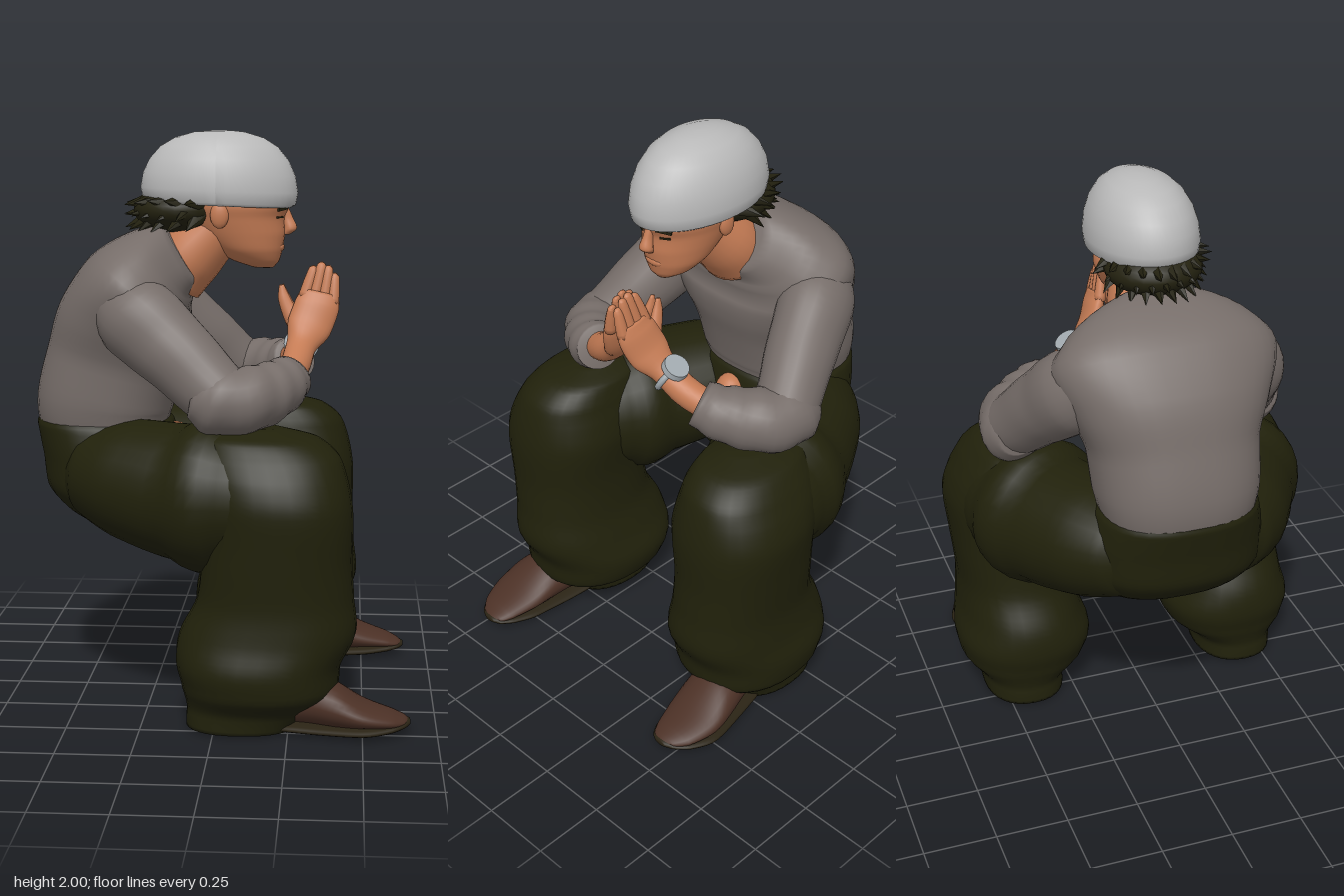
import * as THREE from 'three';

const mat = (name, color) => {
  const m = new THREE.MeshStandardMaterial({ color });
  m.name = name;
  return m;
};

export function createModel() {
  const model = new THREE.Group();
  const wool = mat('greyBrownSweater', 0x766d69);
  const cap = mat('lightGreyHat', 0xb9b9b9);
  const skin = mat('skin', 0xc47b54);
  const cloth = mat('darkOliveTrousers', 0x21210b);
  const hairDark = mat('darkHair', 0x242210);
  const leather = mat('brownLeather', 0x4c3126);
  const rubber = mat('darkSole', 0x2a2314);
  const steel = mat('watchSteel', 0xa3abb0);

  const add = (name, geo, material, parent = model) => {
    const mesh = new THREE.Mesh(geo, material);
    mesh.name = name;
    parent.add(mesh);
    return mesh;
  };
  const bend = (v, e) => Math.sign(v) * Math.abs(v) ** e;

  // Smooth body through rounded sections [x, y, z, sideRadius, otherRadius].
  // Sections stand across the path, or across dir when it is given; e < 1 makes them squarer.
  function loft(name, material, rows, { dir, steps = 5, n = 24, fold = 0, waves = 3, e = 1 } = {}) {
    const path = new THREE.CatmullRomCurve3(rows.map(r => new THREE.Vector3(r[0], r[1], r[2])));
    const size = new THREE.CatmullRomCurve3(rows.map(r => new THREE.Vector3(r[3], r[4], 0)));
    const count = (rows.length - 1) * steps, pos = [], idx = [];
    for (let i = 0; i <= count; i++) {
      const u = i / count, c = path.getPoint(u), r = size.getPoint(u);
      const t = dir ? new THREE.Vector3(...dir) : path.getTangent(u);
      const side = new THREE.Vector3(0, 0, 1).addScaledVector(t, -t.z).normalize();
      const up = t.clone().cross(side);
      for (let j = 0; j < n; j++) {
        const a = j / n * Math.PI * 2;
        const k = 1 + fold * Math.sin(waves * 6.28 * u + 2 * Math.sin(a));
        const p = c.clone().addScaledVector(side, bend(Math.cos(a), e) * r.x * k)
          .addScaledVector(up, bend(Math.sin(a), e) * r.y * k);
        pos.push(p.x, p.y, p.z);
        if (i < count) {
          const A = i * n + j, B = i * n + (j + 1) % n;
          idx.push(A, B, A + n, B, B + n, A + n);
        }
      }
    }
    // end caps
    const first = rows[0], last = rows[rows.length - 1], s = pos.length / 3;
    pos.push(first[0], first[1], first[2], last[0], last[1], last[2]);
    for (let j = 0; j < n; j++) {
      const k = (j + 1) % n, end = count * n;
      idx.push(s, k, j, s + 1, end + j, end + k);
    }
    const geo = new THREE.BufferGeometry();
    geo.setAttribute('position', new THREE.Float32BufferAttribute(pos, 3));
    geo.setIndex(idx);
    geo.computeVertexNormals();
    return add(name, geo, material);
  }

  // Torso, leaning forward
  loft('sweaterBody', wool, [
    [-.425, .965, 0, .26, .225], [-.42, 1.06, 0, .28, .24], [-.385, 1.2, 0, .29, .24],
    [-.345, 1.33, 0, .345, .24], [-.29, 1.45, 0, .39, .21], [-.215, 1.53, 0, .31, .16], [-.14, 1.575, 0, .15, .118],
  ], { n: 40, e: .84 });
  loft('neck', skin, [[-.18, 1.48, 0, .13, .11], [-.125, 1.56, 0, .135, .118], [-.03, 1.66, .01, .105, .1], [.03, 1.73, .01, .09, .09]]);

  // Seat of the trousers
  loft('trouserSeat', cloth, [
    [-.43, 1.005, 0, .26, .225], [-.42, .98, 0, .28, .24], [-.4, .88, 0, .3, .24], [-.39, .77, 0, .3, .235],
    [-.36, .68, 0, .26, .19], [-.3, .61, 0, .22, .13], [-.29, .585, 0, .15, .09],
  ], { dir: [0, -1, 0], n: 32, e: .85 });
  const buckle = add('beltBuckle', new THREE.SphereGeometry(.055, 20, 14), skin);
  buckle.position.set(-.17, .92, 0);

  for (const s of [1, -1]) {
    const m = rows => rows.map(r => [r[0], r[1], r[2] * s, r[3], r[4]]);

    // Legs
    loft('thigh', cloth, m([
      [-.53, .84, .13, .09, .1], [-.45, .83, .155, .17, .16], [-.3, .81, .225, .225, .21], [-.1, .785, .325, .235, .235],
      [.06, .785, .385, .235, .235], [.18, .79, .42, .2, .2], [.26, .79, .43, .13, .13],
    ]), { n: 28 });
    loft('trouserLeg', cloth, m([
      [.12, 1.022, .38, .06, .1], [.145, .99, .395, .14, .2], [.175, .93, .41, .18, .24], [.195, .86, .42, .205, .25],
      [.205, .76, .425, .223, .253], [.21, .6, .425, .21, .25], [.205, .45, .415, .2, .265], [.175, .33, .405, .22, .297],
      [.15, .23, .4, .247, .28], [.15, .14, .405, .225, .265], [.11, .07, .42, .155, .205], [.09, .008, .42, .145, .185],
    ]), { dir: [0, -1, 0], n: 32, fold: .012, waves: 4, e: .88 });

    // Shoes
    loft('shoeUpper', leather, m([
      [.15, .09, .42, .08, .07], [.3, .11, .44, .1, .085], [.4, .097, .46, .107, .077], [.5, .07, .472, .107, .045],
      [.6, .052, .47, .078, .026], [.64, .045, .462, .048, .015], [.655, .043, .46, .02, .006],
    ]), { dir: [1, 0, 0] });
    loft('shoeSole', rubber, m([
      [.2, .02, .43, .09, .016], [.25, .022, .436, .1, .02], [.35, .022, .45, .108, .021], [.5, .026, .47, .115, .021],
      [.6, .033, .468, .085, .018], [.645, .039, .462, .05, .014], [.66, .041, .46, .022, .008],
    ]), { dir: [1, 0, 0] });

    // Sleeves
    loft('upperSleeve', wool, m([
      [-.36, 1.43, .22, .06, .06], [-.33, 1.415, .26, .11, .115], [-.26, 1.365, .31, .128, .145], [-.16, 1.285, .35, .122, .135],
      [-.06, 1.195, .395, .115, .122], [.04, 1.11, .437, .108, .108], [.07, 1.085, .45, .06, .06],
    ]), { fold: .012, waves: 4 });
    loft('lowerSleeve', wool, m([
      [-.08, 1.125, .45, .06, .06], [-.02, 1.115, .445, .105, .108], [.08, 1.115, .43, .112, .112], [.16, 1.13, .365, .105, .105],
      [.215, 1.152, .3, .092, .092], [.243, 1.175, .245, .075, .08],
    ]), { fold: .03, waves: 5 });

    // Hands pressed together
    loft('wristAndPalm', skin, m([
      [.21, 1.15, .3, .05, .05], [.255, 1.2, .2, .05, .052], [.275, 1.26, .115, .042, .052],
      [.302, 1.325, .065, .038, .078], [.328, 1.395, .04, .032, .078], [.338, 1.44, .028, .022, .066],
    ]));
    [.11, .13, .125, .105].forEach((len, i) => {
      const o = (i - 1.5) * .034, x = .332 + o * .98, y = 1.41 - o * .2, k = -o * .25;
      loft('finger', skin, m([
        [x, y, .032, .022, .023], [x + .1 * len + k * .5, y + .5 * len, .022, .018, .021],
        [x + .18 * len + k, y + .92 * len, .013, .012, .017], [x + .2 * len + k, y + len, .008, .005, .007],
      ]), { n: 10, steps: 3 });
    });
    loft('thumb', skin, m([
      [.275, 1.3, .05, .026, .034], [.238, 1.36, .03, .022, .028], [.212, 1.42, .018, .016, .021], [.203, 1.465, .013, .007, .009],
    ]), { n: 12 });

    // Ears, eyes and brows
    const ear = add('ear', new THREE.SphereGeometry(1, 14, 10), skin);
    ear.scale.set(.032, .045, .018);
    ear.position.set(-.005, 1.712, .01 + s * .137);
    const plate = (name, x, y, z, h, w, tilt) => {
      const p = add(name, new THREE.BoxGeometry(.009, h, w), hairDark);
      p.position.set(x, y, .01 + s * z);
      p.rotation.set(s * tilt, -s * .5, 0);
    };
    plate('eye', .198, 1.703, .055, .006, .036, 0);
    plate('brow', .208, 1.732, .058, .01, .056, .12);
  }

  // Head and face
  loft('head', skin, [
    [0, 1.86, .01, .13, .2], [.02, 1.75, .01, .142, .21], [.032, 1.7, .01, .133, .182], [.055, 1.645, .01, .12, .16],
    [.085, 1.59, .01, .102, .122], [.115, 1.55, .01, .07, .08], [.14, 1.527, .01, .03, .035],
  ], { dir: [0, -1, 0], n: 32 });
  loft('nose', skin, [
    [.205, 1.75, .01, .014, .014], [.222, 1.7, .01, .015, .02], [.232, 1.662, .01, .024, .024], [.218, 1.642, .01, .016, .014],
  ], { dir: [0, -1, 0], n: 14 });
  const mouth = add('mouth', new THREE.SphereGeometry(1, 14, 10), skin);
  mouth.scale.set(.02, .018, .04);
  mouth.position.set(.193, 1.598, .01);
  const beard = add('chinBeard', new THREE.SphereGeometry(1, 12, 8), hairDark);
  beard.scale.set(.03, .014, .022);
  beard.position.set(.15, 1.537, .01);

  // Knitted hat
  const profile = [[0, 1.745], [.9, 1.745], [.97, 1.755], [1, 1.795], [.965, 1.85], [.88, 1.9], [.74, 1.945], [.56, 1.975], [.32, 1.994], [.15, 1.999], [0, 2]];
  const dome = new THREE.LatheGeometry(profile.map(p => new THREE.Vector2(...p)), 48);
  const dp = dome.attributes.position;
  for (let i = 0; i < dp.count; i++) {
    const x = dp.getX(i), y = dp.getY(i);
    // rim drops to the brow, front of the crown slopes
    dp.setXYZ(i, x * .275 - .015, y - (2 - y) * x * .05, dp.getZ(i) * (.187 - .012 * x) + .013);
  }
  dome.computeVertexNormals();
  add('hat', dome, cap);

  // Spiky hair below the hat
  const mop = add('hairBase', new THREE.SphereGeometry(1, 24, 16), hairDark);
  mop.scale.set(.16, .082, .165);
  mop.position.set(-.155, 1.727, .012);
  const up = new THREE.Vector3(0, 1, 0);
  for (let row = 0; row < 3; row++) {
    for (let i = 0; i < 11; i++) {
      const a = Math.PI * (.52 + (i + (row % 2) * .5) / 11);
      const jitter = Math.sin(i * 7.3 + row * 4.1);
      const spike = add('hairSpike', new THREE.ConeGeometry(.042, .13, 5), hairDark);
      const out = new THREE.Vector3(Math.cos(a) - .3, -.05 - row * .32 + jitter * .2, Math.sin(a) * .8).normalize();
      spike.quaternion.setFromUnitVectors(up, out);
      spike.position.set(-.08 + Math.cos(a) * .205, 1.755 - row * .032, .012 + Math.sin(a) * (.155 - row * .01));
    }
  }

  // Wristwatch
  const watch = new THREE.Group();
  watch.name = 'wristwatch';
  watch.position.set(.27, 1.24, -.13);
  watch.quaternion.setFromUnitVectors(new THREE.Vector3(0, 0, 1), new THREE.Vector3(.15, .53, .83).normalize());
  add('watchBand', new THREE.TorusGeometry(.053, .011, 8, 28), steel, watch);
  add('watchCase', new THREE.CylinderGeometry(.045, .048, .022, 24), steel, watch).position.y = .056;
  model.add(watch);

  return model;
}
